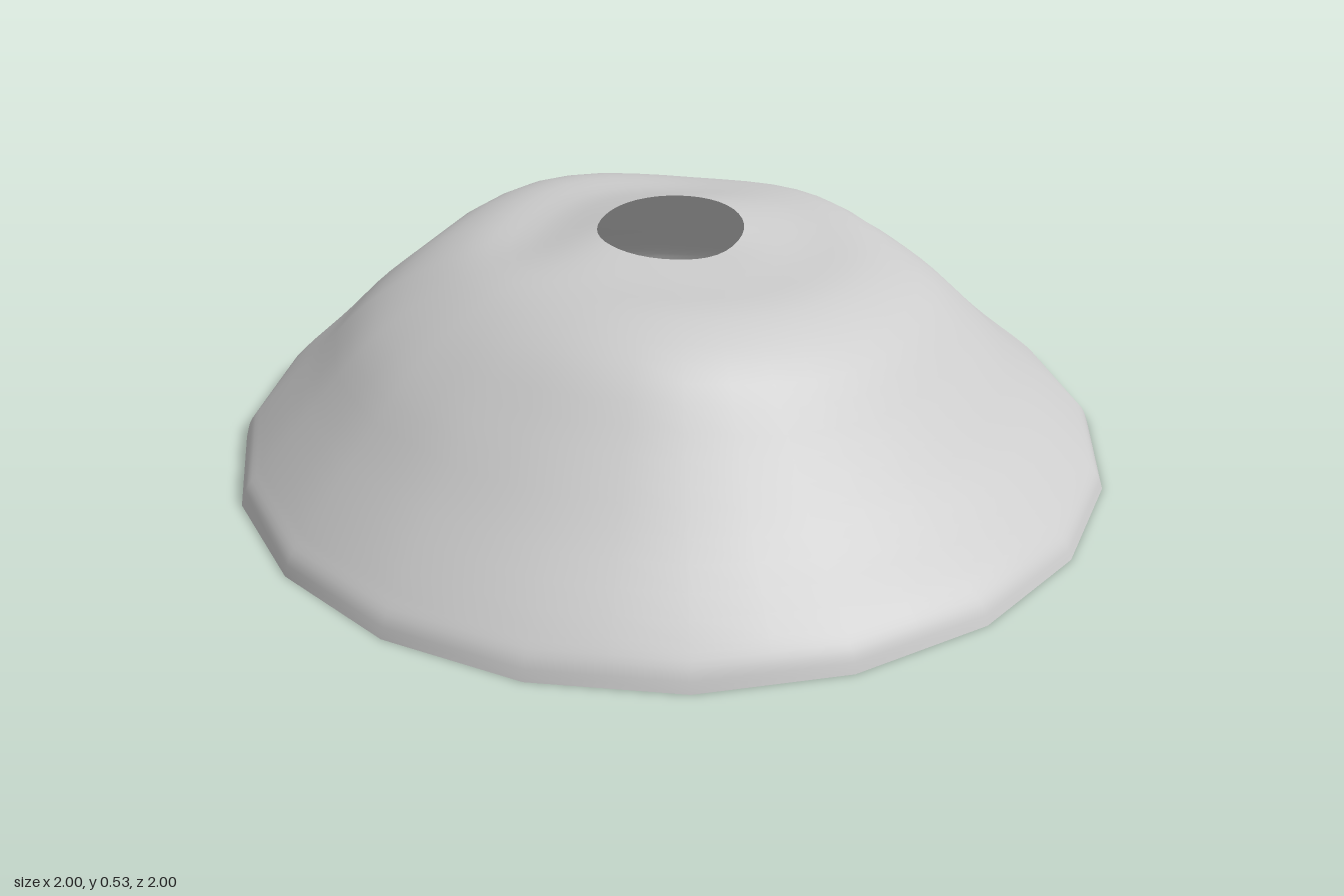
import * as THREE from 'three';

const SIDES = 40;      // angular steps; the rim keeps 20 straight sides
const STEPS = 28;      // samples along each profile
const RADII = [0.165, 0.3, 0.45, 0.58, 0.7, 0.82, 0.95, 0.985, 1];

// Heights from hole to rim for eight directions, starting at +x and turning toward +z
const HEIGHTS = [
  [0.505, 0.495, 0.48, 0.41, 0.28, 0.16, 0.07, 0.035, 0],
  [0.51, 0.505, 0.505, 0.455, 0.33, 0.20, 0.08, 0.04, 0],
  [0.515, 0.505, 0.485, 0.43, 0.345, 0.22, 0.08, 0.04, 0],
  [0.515, 0.48, 0.46, 0.41, 0.33, 0.21, 0.085, 0.045, 0],
  [0.525, 0.50, 0.495, 0.445, 0.31, 0.20, 0.09, 0.045, 0],
  [0.53, 0.495, 0.47, 0.41, 0.31, 0.20, 0.08, 0.04, 0],
  [0.53, 0.51, 0.485, 0.385, 0.28, 0.175, 0.07, 0.035, 0],
  [0.52, 0.495, 0.475, 0.42, 0.31, 0.185, 0.07, 0.035, 0],
];

// Periodic cubic blend of the eight profiles
function heightAt(ring, turn) {
  const f = turn * 8, i = Math.floor(f), t = f - i;
  const h = (k) => HEIGHTS[(i + k + 8) % 8][ring];
  const a = h(-1), b = h(0), c = h(1), d = h(2);
  return b + 0.5 * t * (c - a + t * (2 * a - 5 * b + 4 * c - d + t * (3 * (b - c) + d - a)));
}

function shellGeometry() {
  const positions = [], index = [];
  for (let j = 0; j < SIDES; j++) {
    const angle = (j / SIDES) * Math.PI * 2;
    const profile = new THREE.CatmullRomCurve3(
      RADII.map((r, k) => new THREE.Vector3(r, heightAt(k, j / SIDES), 0)));
    for (let i = 0; i <= STEPS; i++) {
      const p = profile.getPoint(i / STEPS);
      // Odd columns move onto the chord near the rim, giving a 20-sided outline
      const chord = j % 2 ? 1 - (1 - Math.cos(Math.PI / 20)) * THREE.MathUtils.smoothstep(p.x, 0.4, 0.9) : 1;
      positions.push(p.x * chord * Math.cos(angle), p.y, p.x * chord * Math.sin(angle));
      if (i < STEPS) {
        const a = j * (STEPS + 1) + i;
        const b = ((j + 1) % SIDES) * (STEPS + 1) + i;
        index.push(a, b, a + 1, b, b + 1, a + 1);
      }
    }
  }
  const geometry = new THREE.BufferGeometry();
  geometry.setAttribute('position', new THREE.Float32BufferAttribute(positions, 3));
  geometry.setIndex(index);
  geometry.computeVertexNormals();
  return geometry;
}

export function createModel() {
  const group = new THREE.Group();
  group.name = 'openDome';
  // Thin uneven dome, open below and pierced at the top
  const shell = new THREE.Mesh(shellGeometry(),
    new THREE.MeshStandardMaterial({ color: 0xcccccc, side: THREE.DoubleSide }));
  shell.name = 'domeShell';
  group.add(shell);
  return group;
}
